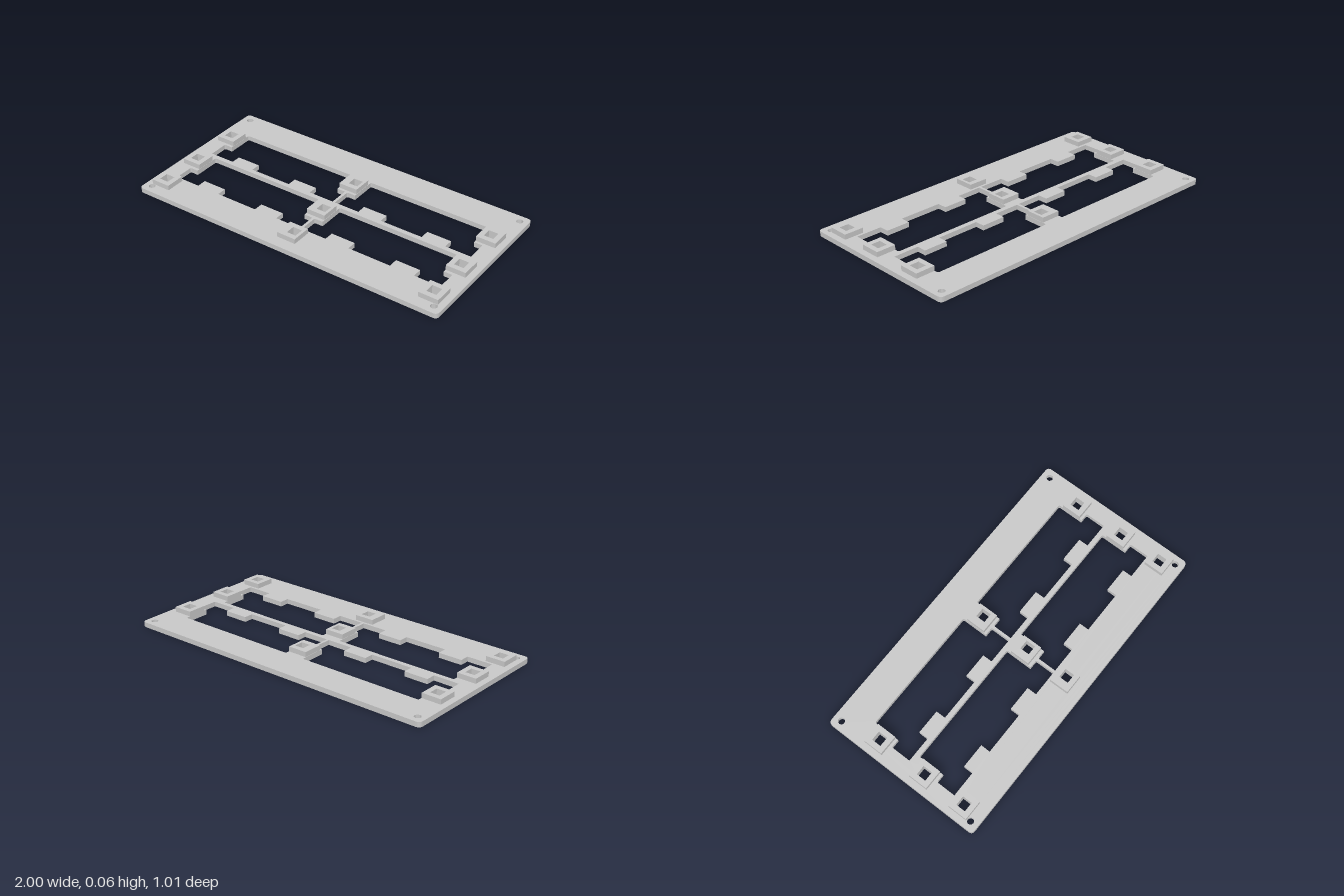
import * as THREE from 'three';

const PLATE = 0.03;   // plate thickness
const BOSS = 0.03;    // boss height above the plate
const DEPTH = 0.505;  // half depth of the plate

// Closed outline from [x, z, cornerRadius] points, drawn in plan
function outline(points, Type = THREE.Path) {
  const path = new Type();
  const n = points.length;
  const pts = points.map(([x, z]) => new THREE.Vector2(x, -z));
  pts.forEach((p, i) => {
    const r = points[i][2] || 0;
    const a = p.clone().add(pts[(i + n - 1) % n].clone().sub(p).setLength(r));
    const b = p.clone().add(pts[(i + 1) % n].clone().sub(p).setLength(r));
    if (i === 0) path.moveTo(a.x, a.y);
    else path.lineTo(a.x, a.y);
    if (r) path.quadraticCurveTo(p.x, p.y, b.x, b.y);
  });
  path.closePath();
  return path;
}

// Counter-clockwise rectangle, so that the extrusion turns every hole wall inwards
const rect = (x, z, hx, hz, r = 0, Type = THREE.Path) => outline(
  [[x - hx, z - hz, r], [x - hx, z + hz, r], [x + hx, z + hz, r], [x + hx, z - hz, r]], Type);

// Stand a plan shape up along y
function slab(shape, height, y) {
  const geometry = new THREE.ExtrudeGeometry(shape, { depth: height, bevelEnabled: false, curveSegments: 6 });
  geometry.rotateX(-Math.PI / 2);
  geometry.translate(0, y, 0);
  return geometry;
}

// Stepped window with two tabs rising from its front edge; side is -1 or 1
function windowHole(side, back, step, front, tabTop) {
  const r = 0.01;
  const points = [
    [0.062, back, r], [0.842, back, r], [0.842, step], [0.894, step, r], [0.894, front],
    [0.735, front], [0.735, tabTop], [0.585, tabTop], [0.585, front],
    [0.319, front], [0.319, tabTop], [0.168, tabTop], [0.168, front],
    [0.008, front], [0.008, step, r], [0.062, step],
  ];
  return outline(points.map(([x, z, c]) => [x * side, z, c]));
}

export function createModel() {
  const group = new THREE.Group();
  group.name = 'mountingFrame';
  const grey = new THREE.MeshStandardMaterial({ color: 0xc8c8c8 });
  grey.name = 'grey';

  // Boss columns and rows; the middle column's holes sit slightly off centre
  const columns = [[-0.903, -0.903], [0, 0.014], [0.902, 0.902]];
  const rows = [-0.216, 0.1, 0.374];
  const holeHalf = 0.029;

  // Base plate with rounded corners
  const plate = rect(0, 0, 1, DEPTH, 0.027, THREE.Shape);
  for (const side of [-1, 1]) {
    plate.holes.push(windowHole(side, -0.302, -0.139, -0.016, -0.075));
    plate.holes.push(windowHole(side, 0.013, 0.179, 0.299, 0.24));
    // Corner screw holes
    for (const end of [-1, 1]) {
      const hole = new THREE.Path();
      hole.absarc(side * 0.95, end * 0.455, 0.02, 0, Math.PI * 2, true);
      plate.holes.push(hole);
    }
  }
  for (const [, hx] of columns) for (const z of rows) plate.holes.push(rect(hx, z, holeHalf, holeHalf));
  const plateMesh = new THREE.Mesh(slab(plate, PLATE, 0), grey);
  plateMesh.name = 'basePlate';
  group.add(plateMesh);

  // Square bosses with square through holes
  for (const [x, hx] of columns) {
    for (const z of rows) {
      const boss = rect(x, z, 0.06, 0.06, 0, THREE.Shape);
      boss.holes.push(rect(hx, z, holeHalf, holeHalf));
      const mesh = new THREE.Mesh(slab(boss, BOSS, PLATE), grey);
      mesh.name = 'squareBoss';
      group.add(mesh);
    }
  }
  return group;
}
